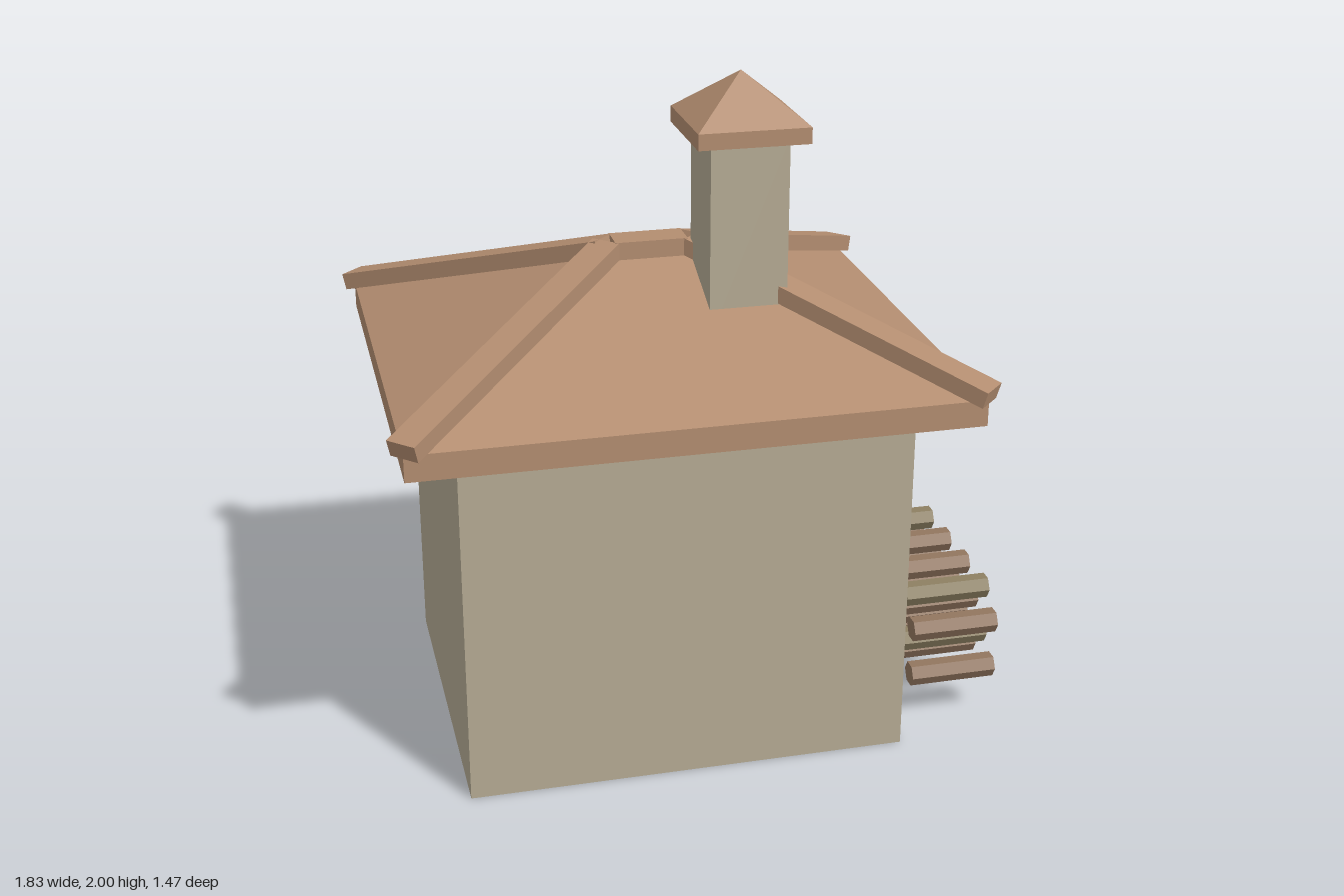
import * as THREE from 'three';

const material = (color, side = THREE.FrontSide) =>
  new THREE.MeshStandardMaterial({ color, side, flatShading: true });

export function createModel() {
  const model = new THREE.Group();
  const plaster = material(0xb5ab94);
  const thinPlaster = material(0xb5ab94, THREE.DoubleSide);
  const soot = material(0x2e2b27, THREE.DoubleSide);
  const stone = material(0xb0ad9b);
  const tile = material(0xb38d70);
  const woods = [material(0x92765f), material(0x8d8062)];

  const add = (name, geometry, mat, parent) => {
    const mesh = new THREE.Mesh(geometry, mat);
    mesh.name = name;
    parent.add(mesh);
    return mesh;
  };
  // box given by its min and max corners
  const box = (name, mat, x0, x1, y0, y1, z0, z1, parent) => {
    const mesh = add(name, new THREE.BoxGeometry(x1 - x0, y1 - y0, z1 - z0), mat, parent);
    mesh.position.set((x0 + x1) / 2, (y0 + y1) / 2, (z0 + z1) / 2);
    return mesh;
  };
  const group = (name) => {
    const g = new THREE.Group();
    g.name = name;
    model.add(g);
    return g;
  };
  // rectangle outline as a Shape or Path
  const rectangle = (path, x0, x1, y0, y1) =>
    path.moveTo(x0, y0).lineTo(x1, y0).lineTo(x1, y1).lineTo(x0, y1).closePath();
  // arched outline of the oven mouth
  const arch = (path) => {
    path.moveTo(-0.239, 0.464).lineTo(-0.239, 0.572);
    path.absarc(-0.067, 0.572, 0.172, Math.PI, 0, true);
    path.lineTo(0.105, 0.464).closePath();
    return path;
  };

  // House: thin walls, open underneath
  const house = group('house');
  const wall = (name, width, x, z, turn) => {
    const mesh = add(name, new THREE.PlaneGeometry(width, 1.163), thinPlaster, house);
    mesh.position.set(x, 0.5815, z);
    mesh.rotation.y = turn;
  };
  wall('frontWall', 1.305, -0.0675, 0.54, 0);
  wall('leftWall', 1.08, 0.585, 0, Math.PI / 2);
  wall('rightWall', 1.08, -0.72, 0, -Math.PI / 2);
  const backShape = rectangle(new THREE.Shape(), -0.72, 0.585, 0, 1.163);
  backShape.holes.push(arch(new THREE.Path()));
  add('backWall', new THREE.ShapeGeometry(backShape, 16), thinPlaster, house).position.z = -0.54;

  // Oven mouth: arched tunnel, sooty end and a low sill
  const outline = arch(new THREE.Shape()).getPoints(16);
  const tunnel = [];
  for (let i = 0; i < outline.length; i++) {
    const p = outline[i], q = outline[(i + 1) % outline.length];
    const a = [p.x, p.y, -0.54], b = [q.x, q.y, -0.54], c = [q.x, q.y, -0.38], d = [p.x, p.y, -0.38];
    tunnel.push(...a, ...b, ...c, ...a, ...c, ...d);
  }
  const tunnelGeometry = new THREE.BufferGeometry();
  tunnelGeometry.setAttribute('position', new THREE.Float32BufferAttribute(tunnel, 3));
  tunnelGeometry.computeVertexNormals();
  add('ovenMouth', tunnelGeometry, thinPlaster, house);
  add('ovenBack', new THREE.ShapeGeometry(arch(new THREE.Shape()), 16), soot, house).position.z = -0.38;
  box('ovenSill', plaster, -0.239, 0.105, 0.464, 0.495, -0.4, -0.381, house);

  // Hip roof above a fascia with a recessed soffit
  const roof = group('roof');
  const hip = (name, x0, x1, z0, z1, y, ridgeX0, ridgeX1, top, parent) => {
    const zc = (z0 + z1) / 2;
    const a = [x0, y, z1], b = [x1, y, z1], c = [x1, y, z0], d = [x0, y, z0];
    const l = [ridgeX0, top, zc], r = [ridgeX1, top, zc];
    const faces = [[a, b, r], [a, r, l], [b, c, r], [c, d, l], [c, l, r], [d, a, l]];
    const geometry = new THREE.BufferGeometry();
    geometry.setAttribute('position', new THREE.Float32BufferAttribute(faces.flat(2), 3));
    geometry.computeVertexNormals();
    return add(name, geometry, tile, parent);
  };
  const rim = rectangle(new THREE.Shape(), -0.875, 0.738, -0.69, 0.69);
  rim.holes.push(rectangle(new THREE.Path(), -0.86, 0.723, -0.675, 0.675));
  const rimGeometry = new THREE.ExtrudeGeometry(rim, { depth: 0.077, bevelEnabled: false });
  add('fascia', rimGeometry.rotateX(-Math.PI / 2), tile, roof).position.y = 1.09;
  box('soffit', tile, -0.86, 0.723, 1.16, 1.166, -0.675, 0.675, roof);
  hip('roofSlopes', -0.875, 0.738, -0.69, 0.69, 1.167, -0.183, 0.047, 1.452, roof);
  box('ridgeCap', tile, -0.175, 0.04, 1.425, 1.485, -0.048, 0.048, roof);

  // Beams along the four hips
  for (const sx of [-1, 1]) {
    for (const sz of [-1, 1]) {
      const low = new THREE.Vector3(-0.067 + sx * 0.81, 1.183, sz * 0.697);
      const high = new THREE.Vector3(-0.067 + sx * 0.125, 1.46, sz * 0.012);
      const beam = add('hipBeam', new THREE.BoxGeometry(0.092, 0.05, low.distanceTo(high)), tile, roof);
      beam.position.copy(low).lerp(high, 0.5);
      beam.lookAt(high);
    }
  }

  // Chimney with pyramid cap
  const chimney = group('chimney');
  box('chimneyStack', plaster, 0.05, 0.278, 1.25, 1.83, 0.042, 0.27, chimney);
  box('chimneyCapRim', tile, 0.002, 0.326, 1.82, 1.867, -0.008, 0.316, chimney);
  hip('chimneyCapRoof', 0.002, 0.326, -0.008, 0.316, 1.867, 0.164, 0.164, 2, chimney);

  // Stone shelf under the oven mouth
  const shelf = group('ovenShelf');
  box('shelfTop', stone, -0.488, 0.353, 0.428, 0.464, -0.73, -0.535, shelf);
  for (const x of [-0.465, 0.225]) box('shelfLeg', stone, x, x + 0.1, 0.113, 0.43, -0.712, -0.558, shelf);

  // Staggered rows of six-sided logs
  const logs = group('firewood');
  const logGeometry = new THREE.CylinderGeometry(0.037, 0.037, 0.265, 6).rotateZ(Math.PI / 2);
  for (let row = 0; row < 4; row++) {
    const odd = row % 2;
    for (let i = 0; i < 5 - odd; i++) {
      const log = add('log', logGeometry, woods[odd && i % 3 === 0 ? 1 : 0], logs);
      log.position.set(0.78, 0.163 + row * 0.077, 0.425 - odd * 0.081 - i * 0.162);
    }
  }
  return model;
}
